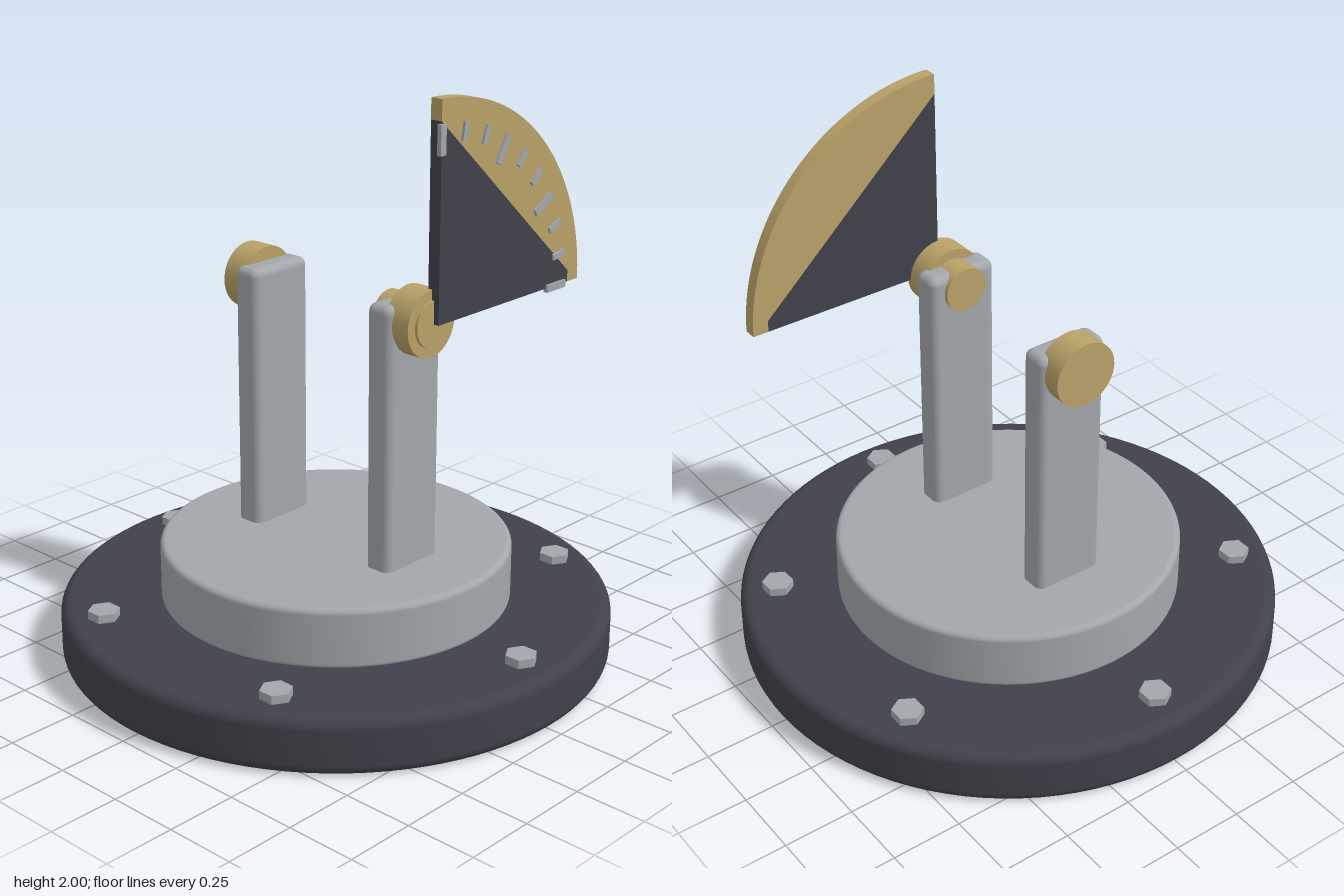
import * as THREE from 'three';
import { RoundedBoxGeometry } from 'three/addons/geometries/RoundedBoxGeometry.js';

const material = (name, color) => {
  const m = new THREE.MeshStandardMaterial({ color });
  m.name = name;
  return m;
};

// Solid disc with rounded rims
function roundedDisc(radius, y0, y1, bevel) {
  const points = [new THREE.Vector2(0, y0), new THREE.Vector2(radius - bevel - 0.004, y0)];
  for (const [cy, start] of [[y0 + bevel, -Math.PI / 2], [y1 - bevel, 0]]) {
    for (let i = 0; i <= 6; i++) {
      const a = start + (i / 6) * (Math.PI / 2);
      points.push(new THREE.Vector2(radius - bevel + bevel * Math.cos(a), cy + bevel * Math.sin(a)));
    }
  }
  points.push(new THREE.Vector2(radius - bevel - 0.004, y1), new THREE.Vector2(0, y1));
  return new THREE.LatheGeometry(points, 96);
}

export function createModel() {
  const dark = material('dark slate', 0x41414b);
  const grey = material('steel grey', 0xa3a7ab);
  const gold = material('brass', 0xb9a268);

  const model = new THREE.Group();
  const add = (name, geometry, mat, x = 0, y = 0, z = 0, parent = model) => {
    const mesh = new THREE.Mesh(geometry, mat);
    mesh.name = name;
    mesh.position.set(x, y, z);
    parent.add(mesh);
    return mesh;
  };

  // Base and turntable
  add('base', roundedDisc(0.96, 0, 0.2, 0.04), dark);
  add('turntable', roundedDisc(0.61, 0.19, 0.405, 0.02), grey);

  // Ring of hex bolts
  const bolt = new THREE.CylinderGeometry(0.055, 0.055, 0.06, 6).toNonIndexed();
  bolt.computeVertexNormals();
  for (let i = 0; i < 6; i++) {
    const a = (i * Math.PI) / 3;
    add('bolt', bolt, grey, 0.825 * Math.sin(a), 0.2, 0.825 * Math.cos(a));
  }

  // Uprights with bearings on their outer faces
  const pivotY = 1.265;
  const post = new RoundedBoxGeometry(0.26, 1.0, 0.105, 4, 0.03);
  const axle = (name, radius, z0, z1) => {
    const g = new THREE.CylinderGeometry(radius, radius, z1 - z0, 48).rotateX(Math.PI / 2);
    add(name, g, gold, 0, pivotY, (z0 + z1) / 2);
  };
  add('frontPost', post, grey, 0, 0.832, 0.304);
  add('backPost', post, grey, 0, 0.832, -0.304);
  axle('frontBearing', 0.115, 0.322, 0.42);
  axle('backBearing', 0.115, -0.418, -0.322);
  axle('pivotPin', 0.08, 0.237, 0.43);

  // Quadrant: dark web inside, brass segment outside
  const quadrant = new THREE.Group();
  quadrant.name = 'quadrant';
  quadrant.position.set(0, pivotY, 0.405);
  model.add(quadrant);
  const plate = { depth: 0.045, bevelEnabled: false, curveSegments: 48 };

  const web = new THREE.Shape();
  web.moveTo(0, 0);
  web.lineTo(0.678, 0);
  web.lineTo(0.678, 0.04);
  web.lineTo(0, 0.665);
  add('quadrantWeb', new THREE.ExtrudeGeometry(web, plate), dark, 0, 0, 0, quadrant);

  const rim = new THREE.Shape();
  rim.moveTo(0.678, 0);
  rim.lineTo(0.735, 0);
  rim.absarc(0, 0, 0.735, 0, Math.PI / 2, false);
  rim.lineTo(0, 0.665);
  rim.lineTo(0.678, 0.04);
  add('quadrantRim', new THREE.ExtrudeGeometry(rim, plate), gold, 0, 0, 0, quadrant);

  // Scale marks every ten degrees, longer at every thirty
  const major = new THREE.BoxGeometry(0.1, 0.026, 0.016);
  const minor = new THREE.BoxGeometry(0.062, 0.02, 0.016);
  for (let i = 0; i <= 9; i++) {
    const a = (i * Math.PI) / 18;
    const isMajor = i % 3 === 0;
    const r = isMajor ? 0.607 : 0.628;
    const mark = add(isMajor ? 'majorMark' : 'minorMark', isMajor ? major : minor, grey,
      r * Math.cos(a), r * Math.sin(a), 0.046, quadrant);
    mark.rotation.z = a;
  }

  return model;
}
